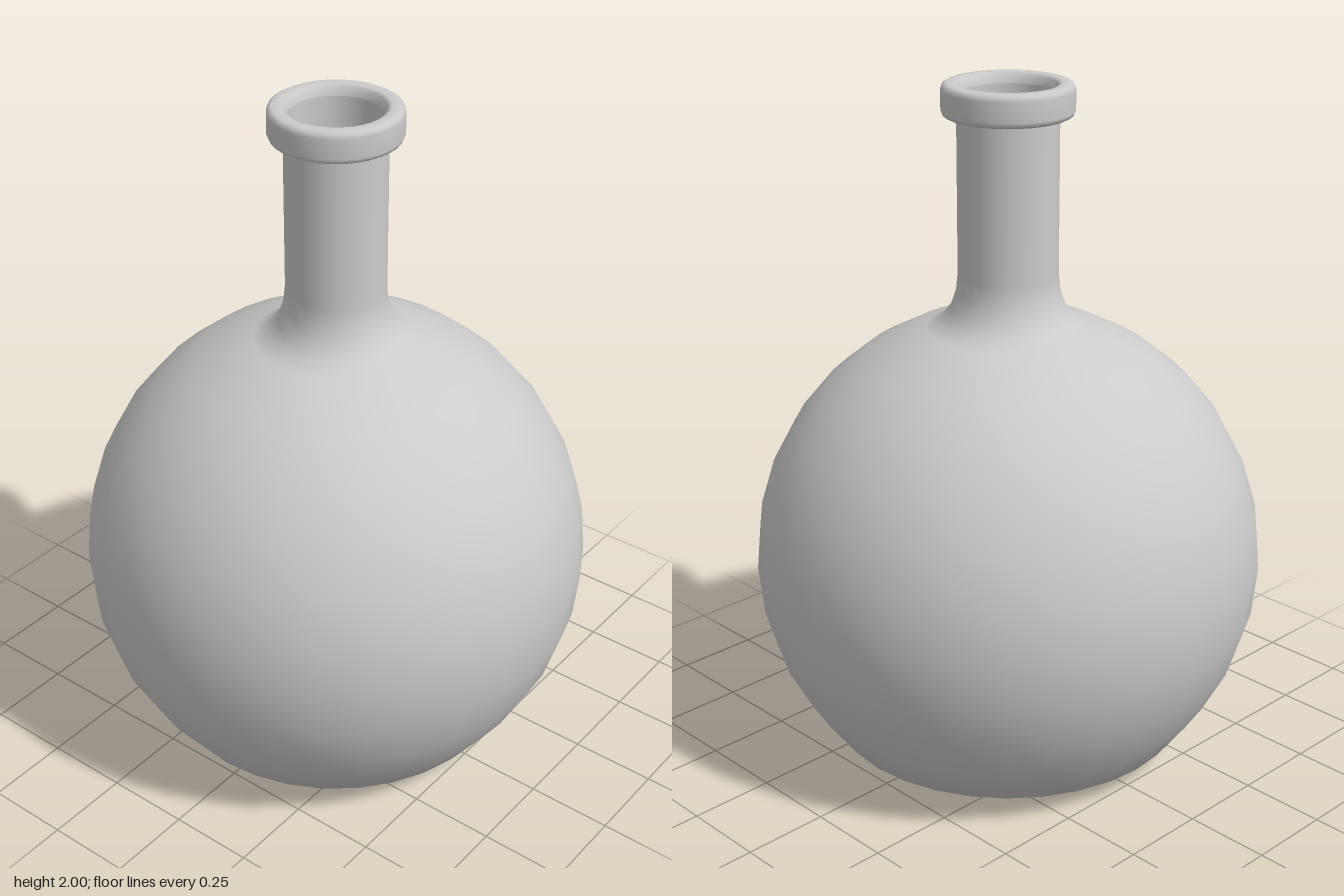
import * as THREE from 'three';

const SEGMENTS = 32;
const STEP = Math.PI / 16;
const CENTRE = 0.6;

// Points of a round wall, from step a to step b (0 is the equator)
function arc(radius, a, b) {
  const pts = [];
  const dir = Math.sign(b - a);
  for (let i = a; i !== b + dir; i += dir) {
    pts.push([radius * Math.cos(i * STEP), CENTRE + radius * Math.sin(i * STEP)]);
  }
  return pts;
}

function lathe(name, points, material) {
  const profile = points.map(([x, y]) => new THREE.Vector2(x, y));
  const mesh = new THREE.Mesh(new THREE.LatheGeometry(profile, SEGMENTS), material);
  mesh.name = name;
  return mesh;
}

export function createModel() {
  const group = new THREE.Group();
  group.name = 'flask';
  const glass = new THREE.MeshStandardMaterial({ color: 0xcccccc });
  const red = new THREE.MeshStandardMaterial({ color: 0xd83a1a });

  // Outer wall: shallow bulging base, round bowl, flared shoulder, straight neck
  group.add(lathe('outerWall', [
    [0, 0], [0.14, 0.007], [0.28, 0.027], [0.42, 0.06], [0.53, 0.064],
    ...arc(0.745, -3, 6),
    [0.235, 1.3], [0.195, 1.322], [0.165, 1.36], [0.148, 1.41], [0.143, 1.46], [0.143, 1.93],
  ], glass));

  // Inner wall, running down from the mouth
  group.add(lathe('innerWall', [
    [0.13, 1.97], [0.128, 1.44], [0.14, 1.38], [0.17, 1.32], [0.22, 1.285],
    ...arc(0.725, 6, -4),
    [0.42, 0.08], [0.28, 0.047], [0.14, 0.027], [0, 0.02],
  ], glass));

  // Rounded lip around the mouth
  group.add(lathe('lip', [
    [0.14, 1.908], [0.172, 1.908], [0.181, 1.913], [0.186, 1.925],
    [0.186, 1.982], [0.182, 1.994], [0.172, 2],
    [0.148, 2], [0.136, 1.994], [0.13, 1.97],
  ], glass));

  // Liquid filling the lower half of the bowl, with a flat surface
  const liquid = new THREE.Group();
  liquid.name = 'liquid';
  liquid.add(lathe('liquidBody', [[0, 0.04], [0.28, 0.065], [0.42, 0.095], ...arc(0.715, -4, 0)], red));
  const surface = new THREE.Mesh(new THREE.CircleGeometry(0.715, SEGMENTS), red);
  surface.name = 'liquidSurface';
  surface.rotation.x = -Math.PI / 2;
  surface.position.y = CENTRE;
  liquid.add(surface);
  group.add(liquid);

  return group;
}
